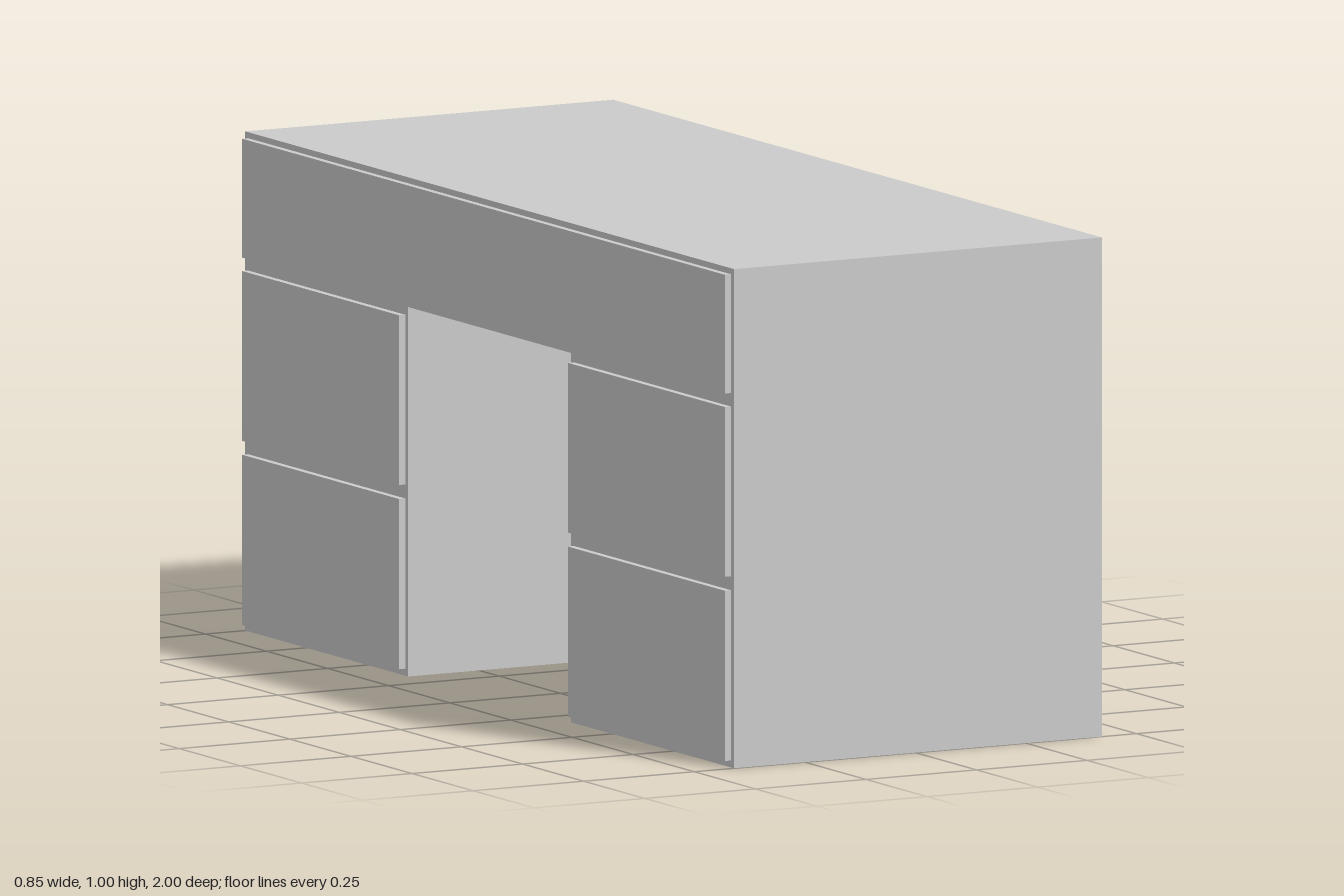
import * as THREE from 'three';

const X_BACK = 0.422, X_FACE = -0.41, X_DRAWER = -0.424;
const KNEE = 0.333, KNEE_TOP = 0.74, INSET = 0.012;

export function createModel() {
  const group = new THREE.Group();
  group.name = 'desk';
  const material = new THREE.MeshStandardMaterial({ color: 0xcccccc, flatShading: true });

  // Body: one arch-shaped profile (z, y) swept across the depth of the desk
  const profile = new THREE.Shape([
    [-1, 0], [-KNEE, 0], [-KNEE, KNEE_TOP], [KNEE, KNEE_TOP],
    [KNEE, 0], [1, 0], [1, 1], [-1, 1],
  ].map(([z, y]) => new THREE.Vector2(z, y)));
  const bodyGeometry = new THREE.ExtrudeGeometry(profile, {
    depth: X_BACK - X_FACE, bevelEnabled: false,
  });
  bodyGeometry.rotateY(-Math.PI / 2).translate(X_BACK, 0, 0);
  const body = new THREE.Mesh(bodyGeometry, material);
  body.name = 'deskBody';
  group.add(body);

  // Drawer fronts: thin panels standing proud of the -x face
  const addDrawer = (name, z0, z1, y0, y1) => {
    const thickness = X_FACE - X_DRAWER;
    const drawer = new THREE.Mesh(
      new THREE.BoxGeometry(thickness, y1 - y0, z1 - z0), material);
    drawer.position.set((X_FACE + X_DRAWER) / 2, (y0 + y1) / 2, (z0 + z1) / 2);
    drawer.name = name;
    group.add(drawer);
  };

  addDrawer('topDrawer', -1 + INSET, 1 - INSET, 0.75, 0.988);
  for (const [side, z0, z1] of [['far', -1, -KNEE], ['near', KNEE, 1]]) {
    addDrawer(side + 'MiddleDrawer', z0 + INSET, z1 - INSET, 0.383, 0.723);
    addDrawer(side + 'BottomDrawer', z0 + INSET, z1 - INSET, 0.014, 0.355);
  }
  return group;
}
